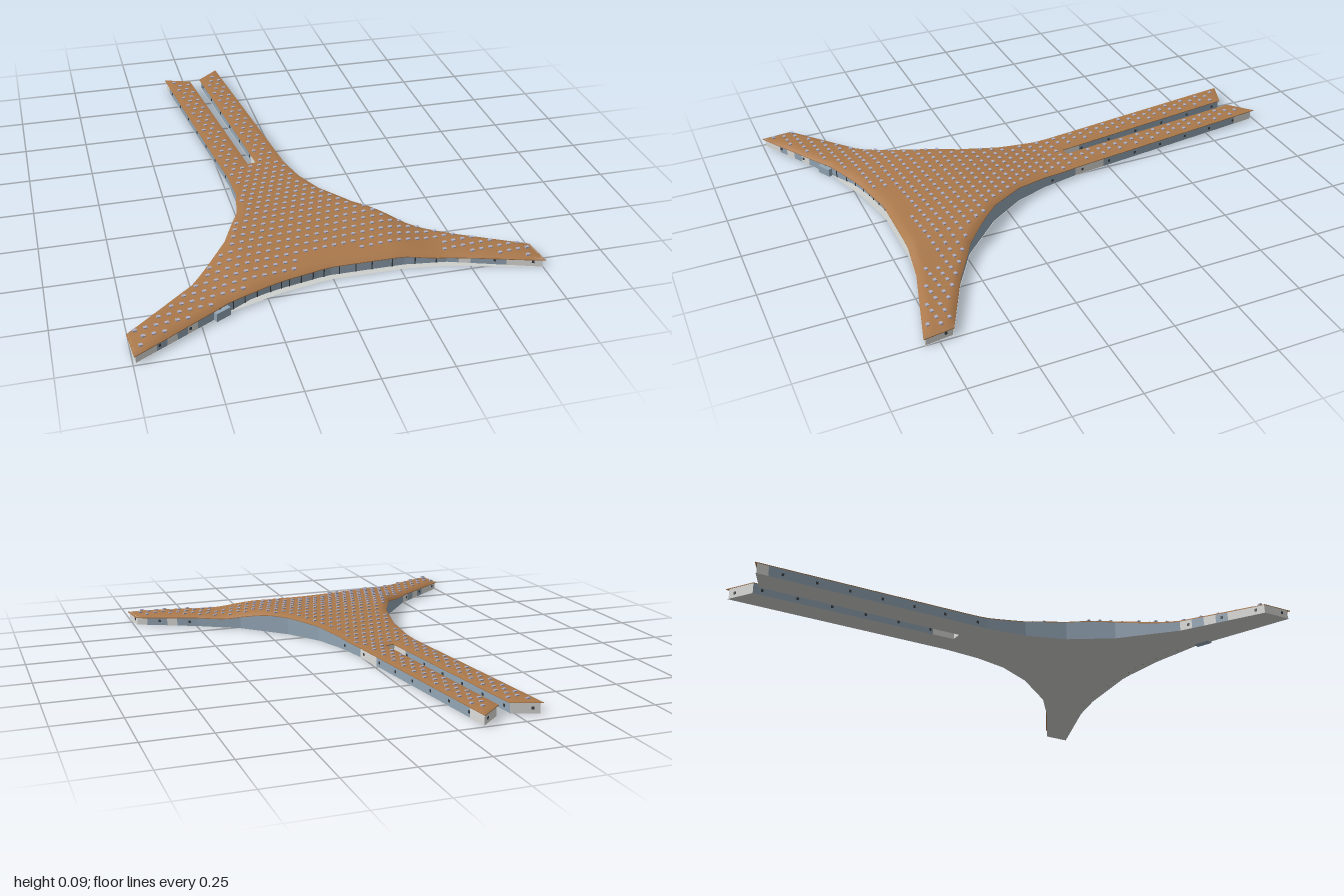
import * as THREE from 'three';
import { mergeGeometries, mergeVertices } from 'three/addons/utils/BufferGeometryUtils.js';

const mat = (name, color, side = THREE.FrontSide) => {
  const m = new THREE.MeshStandardMaterial({ color, side });
  m.name = name;
  return m;
};

// Paired plan points [x, z] of the hall: back edge and front edge, left arm to right arm
const back = [[-.755, .875], [-.5, .665], [-.345, .47], [-.265, .3], [-.235, .14], [-.235, -.02], [-.245, -.105],
  [-.135, -.105], [-.1, -.11], [.01, -.1], [.04, .05], [.085, .18], [.175, .32], [.335, .48], [.5, .58], [.74, .695]];
const front = [[-.745, .997], [-.4, .802], [-.3, .77], [-.25, .752], [-.2, .737], [-.17, .73], [-.14, .724],
  [-.08, .712], [-.05, .705], [0, .698], [.06, .698], [.12, .698], [.18, .698], [.27, .698], [.42, .718], [.755, .808]];
// The two long piers, far ends
const pierA = [[-.34, -.95], [-.23, -.91]];
const pierB = [[-.185, -.92], [-.095, -1]];
const outline = [...back.slice(0, 7), ...pierA, back[7], back[8], ...pierB, ...back.slice(9), ...[...front].reverse()];

const lerp = (a, b, t) => [a[0] + (b[0] - a[0]) * t, a[1] + (b[1] - a[1]) * t];
const smooth = THREE.MathUtils.smoothstep;

// Distance from a plan point to the nearest eave
function edgeDistance(x, z) {
  let best = 9;
  outline.forEach((a, i) => {
    const b = outline[(i + 1) % outline.length];
    const dx = b[0] - a[0], dz = b[1] - a[1];
    const t = THREE.MathUtils.clamp(((x - a[0]) * dx + (z - a[1]) * dz) / (dx * dx + dz * dz), 0, 1);
    best = Math.min(best, Math.hypot(x - a[0] - dx * t, z - a[1] - dz * t));
  });
  return best;
}

function inside(x, z) {
  let hit = false;
  outline.forEach((a, i) => {
    const b = outline[(i + 1) % outline.length];
    if ((a[1] > z) !== (b[1] > z) && x < a[0] + (b[0] - a[0]) * (z - a[1]) / (b[1] - a[1])) hit = !hit;
  });
  return hit;
}

// Roof height: a broad swell over the hall, low arms, eaves curving down (less so on the piers)
function roofY(x, z) {
  const bx = 1 - smooth(Math.abs(x + .04), .26, .46);
  const bz = smooth(z, -.1, .4) * (1 - smooth(z, .4, 1));
  const arm = .006 * smooth(z, .2, .5) * (1 - smooth(Math.abs(x), .45, .75));
  const t = Math.min(edgeDistance(x, z) / .035, 1);
  const drop = .004 + .008 * smooth(z, 0, .5);
  return .045 + .041 * bx * bz + arm * (1 - bx * bz) - drop * (1 - t) ** 2;
}

function surface(positions, indices) {
  const g = new THREE.BufferGeometry();
  g.setAttribute('position', new THREE.Float32BufferAttribute(positions, 3));
  g.setIndex(indices);
  g.computeVertexNormals();
  return g;
}

// Roof patch lofted between two plan curves
function roofPatch(a, b, steps, rows) {
  const pos = [], idx = [], n = (a.length - 1) * steps;
  for (let i = 0; i <= n; i++) {
    const k = Math.min(Math.floor(i / steps), a.length - 2), t = i / steps - k;
    const p = lerp(a[k], a[k + 1], t), q = lerp(b[k], b[k + 1], t);
    for (let j = 0; j <= rows; j++) {
      const [x, z] = lerp(p, q, .5 - .5 * Math.cos(Math.PI * j / rows));
      pos.push(x, roofY(x, z), z);
      if (i < n && j < rows) {
        const v = i * (rows + 1) + j, w = v + rows + 1;
        idx.push(v, v + 1, w, w, v + 1, w + 1);
      }
    }
  }
  return surface(pos, idx);
}

// Outline moved inwards, by a distance chosen for each corner
function insetOutline(distance) {
  const n = outline.length;
  const normal = (a, b) => {
    const l = Math.hypot(b[0] - a[0], b[1] - a[1]);
    return [-(b[1] - a[1]) / l, (b[0] - a[0]) / l];
  };
  return outline.map((p, i) => {
    const u = normal(outline[(i + n - 1) % n], p), v = normal(p, outline[(i + 1) % n]);
    const s = distance(p) / Math.max(.4, 1 + u[0] * v[0] + u[1] * v[1]);
    return [p[0] + (u[0] + v[0]) * s, p[1] + (u[1] + v[1]) * s];
  });
}

// Short straight pieces along a closed plan line
function pieces(line, size) {
  const out = [];
  line.forEach((a, i) => {
    const b = line[(i + 1) % line.length];
    const n = Math.max(1, Math.round(Math.hypot(b[0] - a[0], b[1] - a[1]) / size));
    for (let k = 0; k < n; k++) out.push([lerp(a, b, k / n), lerp(a, b, (k + 1) / n)]);
  });
  return out;
}

// Upright strip under the roof, from y = low(p) to y = high(p)
const strip = (list, low, high) => mergeVertices(mergeGeometries(list.map(([p, q]) => surface(
  [p[0], low(p), p[1], q[0], low(q), q[1], q[0], high(q), q[1], p[0], high(p), p[1]], [0, 2, 1, 0, 3, 2]))));

export function createModel() {
  const group = new THREE.Group();
  const roofMat = mat('roof tan', 0xaa784b, THREE.DoubleSide);
  const glassMat = mat('blue grey glass', 0x93a5b5, THREE.DoubleSide);
  const whiteMat = mat('white cladding', 0xdcdcda, THREE.DoubleSide);
  const floorMat = mat('pale floor', 0xcdcfcc, THREE.DoubleSide);
  const darkMat = mat('dark frame', 0x3a3f44);
  const skyMat = mat('skylight glass', 0xaeaec4);
  const add = (name, geometry, material) => {
    const m = new THREE.Mesh(geometry, material);
    m.name = name;
    group.add(m);
    return m;
  };

  // Roof over hall and piers, with a thin fascia
  add('hallRoof', roofPatch(back, front, 6, 28), roofMat);
  add('leftPierRoof', roofPatch(pierA, [back[6], back[7]], 10, 32), roofMat);
  add('rightPierRoof', roofPatch(pierB, [back[8], back[9]], 10, 32), roofMat);
  const top = p => roofY(p[0], p[1]);
  add('roofFascia', strip(pieces(outline, .04), p => top(p) - .003, top), roofMat);

  // Walls: set back under the eaves along the hall front; white panels on the arms and pier ends
  const hallFront = ([x, z]) => z > .69 && x > -.35 && x < .45;
  const line = insetOutline(p => hallFront(p) ? .03 : .006);
  const wall = pieces(line, .045);
  const isWhite = ([p, q], i) => {
    const x = (p[0] + q[0]) / 2, z = (p[1] + q[1]) / 2;
    const pierEnd = z < -.9, slitEnd = z < -.09 && z > -.2 && x > -.16 && x < -.07;
    const neck = z > -.22 && z < -.1 && x > -.05;
    return pierEnd || slitEnd || neck || Math.abs(x) > .68 || (x < -.47 && i % 2 === 0) || (x > .48 && i % 4 === 0);
  };
  const floorY = () => 0, wallTop = p => top(p) - .001;
  add('glassWalls', strip(wall.filter((w, i) => !isWhite(w, i)), floorY, wallTop), glassMat);
  add('whiteWallPanels', strip(wall.filter(isWhite), floorY, wallTop), whiteMat);

  // Floor slab, reaching out to the eaves
  const slab = insetOutline(() => .004);
  const floor = new THREE.ShapeGeometry(new THREE.Shape(slab.map(([x, z]) => new THREE.Vector2(x, -z))));
  floor.rotateX(-Math.PI / 2);
  add('floor', floor, floorMat);

  // Slim mullions on the hall front, small doors along the piers and arms
  const mullions = [], doors = [];
  const post = (list, [p, q], w, h, y) => {
    const [x, z] = lerp(p, q, .5);
    list.push(new THREE.BoxGeometry(w, h, .004).rotateY(-Math.atan2(q[1] - p[1], q[0] - p[0])).translate(x, y, z));
  };
  pieces(line, .066).forEach((piece, i) => {
    const [x, z] = lerp(piece[0], piece[1], .5);
    const h = top([x, z]) - .004;
    if (z > .64 && x > -.45 && x < .45) post(mullions, piece, .004, h, h / 2);
    else if (i % 2 === 0 && (z < .1 || Math.abs(x) > .5)) post(doors, piece, .009, .01, .019);
  });
  add('wallMullions', mergeGeometries(mullions), darkMat);
  add('pierDoors', mergeGeometries(doors), darkMat);

  // Small entrance porch at the front of the left-hand arm
  const porch = add('entrancePorch', new THREE.BoxGeometry(.06, .032, .03), glassMat);
  porch.position.set(-.427, .016, .812);
  porch.rotation.y = .5;

  // Skylights in slightly slanted, closely set rows
  const skylights = [];
  for (let r = -32; r <= 32; r++) {
    for (let c = -30; c <= 30; c++) {
      const u = (c + (r % 2 ? .5 : 0)) * .036, v = r * .04;
      const x = u + .1 * v - .05, z = v - .1 * u;
      if (!inside(x, z) || edgeDistance(x, z) < .018) continue;
      if (z > .63 && x > -.12 && x < .4) continue;
      skylights.push(new THREE.BoxGeometry(.014, .006, .011).rotateY(.1).translate(x, roofY(x, z) + .001, z));
    }
  }
  add('skylights', mergeGeometries(skylights), skyMat);
  return group;
}
